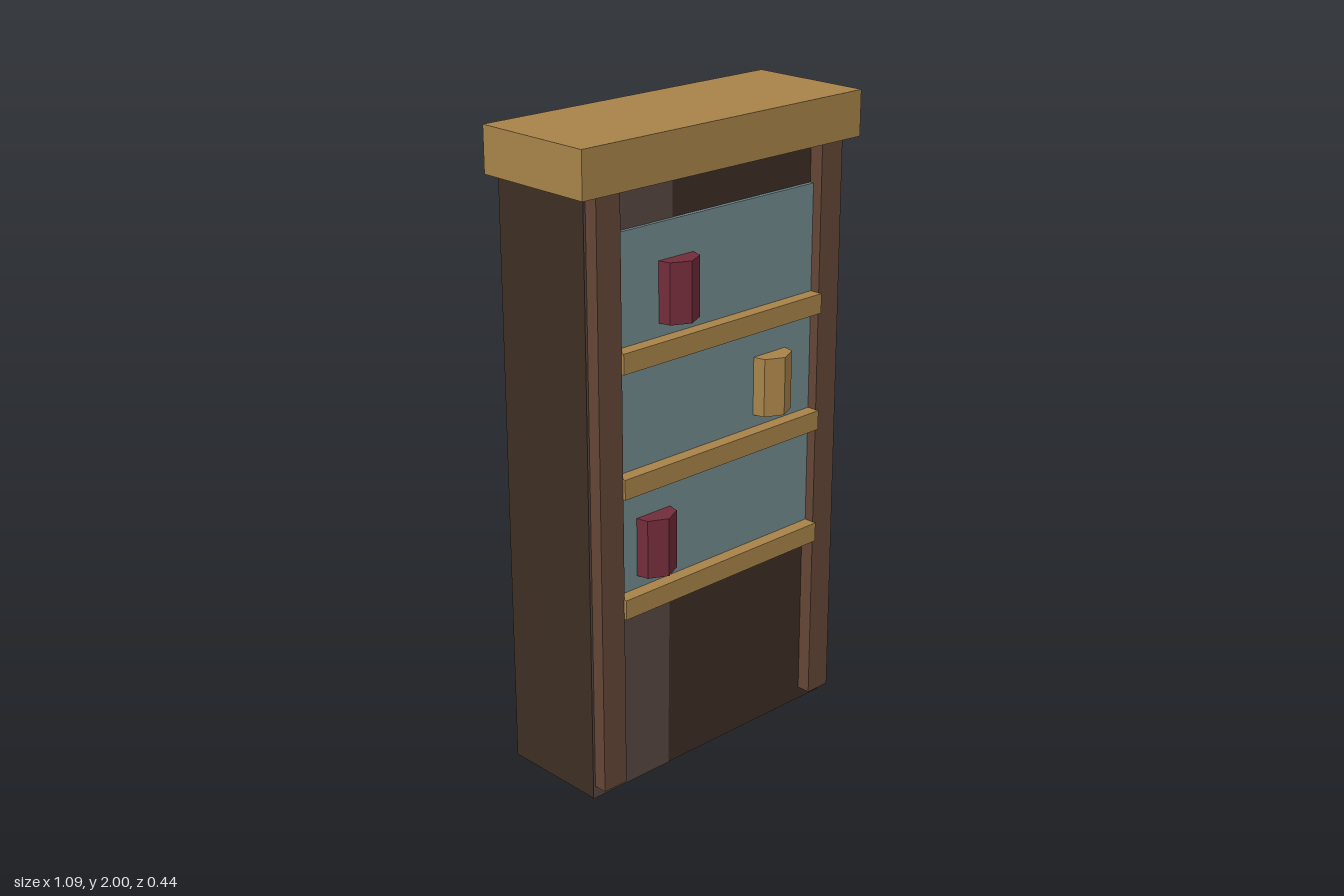
import * as THREE from 'three';

const mat = (name, color) => {
  const m = new THREE.MeshStandardMaterial({ color });
  m.name = name;
  return m;
};

export function createModel() {
  const group = new THREE.Group();
  const darkWood = mat('dark wood', 0x3d2e24);
  const greyWood = mat('grey brown wood', 0x574742);
  const postWood = mat('post wood', 0x634635);
  const goldWood = mat('golden wood', 0xa88349);
  const teal = mat('teal panel', 0x728a8e);
  const red = mat('dark red', 0x722c3a);

  const add = (name, geometry, material) => {
    const mesh = new THREE.Mesh(geometry, material);
    mesh.name = name;
    group.add(mesh);
    return mesh;
  };
  // box given by its min and max on each axis
  const box = (name, material, [x0, x1], [y0, y1], [z0, z1]) =>
    add(name, new THREE.BoxGeometry(x1 - x0, y1 - y0, z1 - z0), material)
      .position.set((x0 + x1) / 2, (y0 + y1) / 2, (z0 + z1) / 2);

  // cabinet and top slab
  box('cabinetBody', darkWood, [-0.493, 0.493], [0, 1.895], [-0.218, 0.14]);
  box('topSlab', goldWood, [-0.547, 0.547], [1.86, 2], [-0.21, 0.2]);

  // lighter strip on the left of the front face, slightly slanted
  const strip = new THREE.Shape([
    new THREE.Vector2(-0.493, 0), new THREE.Vector2(-0.187, 0),
    new THREE.Vector2(-0.165, 1.87), new THREE.Vector2(-0.493, 1.87),
  ]);
  add('frontStrip', new THREE.ShapeGeometry(strip), greyWood).position.z = 0.142;

  // corner posts
  for (const side of [-1, 1]) {
    const x = [0.4 * side, 0.487 * side].sort((a, b) => a - b);
    box(side > 0 ? 'leftPost' : 'rightPost', postWood, x, [0.04, 1.87], [0.1, 0.185]);
  }

  // recessed back panel and shelves
  box('backPanel', teal, [-0.402, 0.402], [0.6, 1.735], [0.1, 0.153]);
  [0.615, 0.993, 1.37].forEach((y, i) =>
    box(`shelf${i + 1}`, goldWood, [-0.402, 0.402], [y - 0.031, y + 0.031], [0.1, 0.195]));

  // seven-sided jars
  [[-0.163, 1.533, red], [0.223, 1.155, goldWood], [-0.254, 0.777, red]].forEach(([x, y, m], i) => {
    const geo = new THREE.CylinderGeometry(0.0745, 0.0745, 0.183, 7).toNonIndexed();
    geo.computeVertexNormals();
    add(`jar${i + 1}`, geo, m).position.set(x, y, 0.144);
  });
  return group;
}
